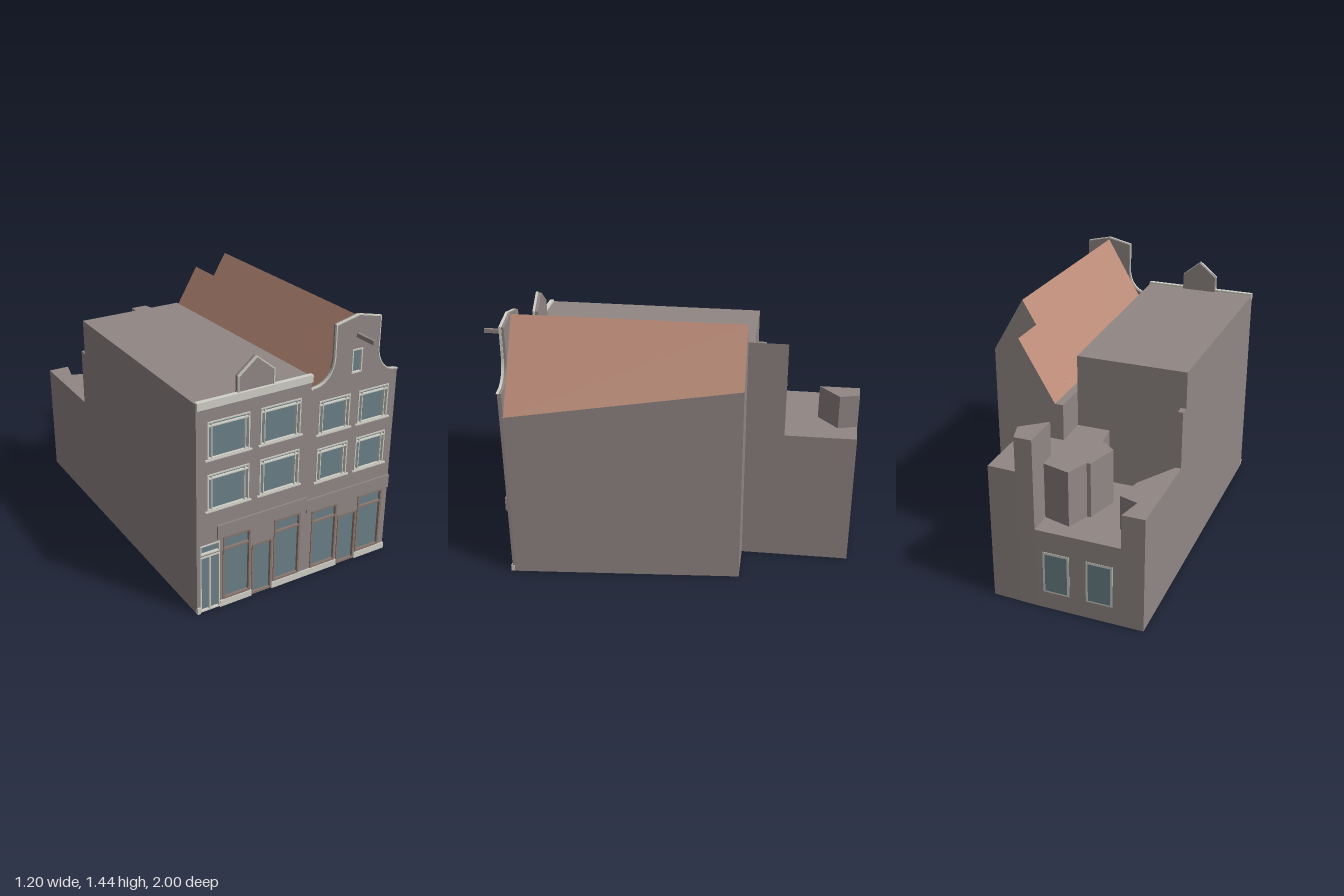
import * as THREE from 'three';

const mat = (name, color, side = THREE.FrontSide) => {
  const m = new THREE.MeshStandardMaterial({ color, side });
  m.name = name;
  return m;
};

export function createModel() {
  const model = new THREE.Group();
  model.name = 'canalHouses';
  const wall = mat('wall', 0x918785);
  const tile = mat('roofTile', 0xbc8c79);
  const trim = mat('paleTrim', 0xd0d0c7);
  const glass = mat('glass', 0x6a8087);
  const wood = mat('brownFrame', 0x8a7770);

  const add = (name, geo, material, parent = model) => {
    const mesh = new THREE.Mesh(geo, material);
    mesh.name = name;
    parent.add(mesh);
    return mesh;
  };
  const box = (name, m, x0, x1, y0, y1, z0, z1, parent) => {
    const g = new THREE.BoxGeometry(x1 - x0, y1 - y0, z1 - z0);
    g.translate((x0 + x1) / 2, (y0 + y1) / 2, (z0 + z1) / 2);
    return add(name, g, m, parent);
  };
  // Upright block from a ground plan of [x, z] corners
  const block = (name, plan, height) => {
    const shape = new THREE.Shape(plan.map(([x, z]) => new THREE.Vector2(x, -z)));
    const g = new THREE.ExtrudeGeometry(shape, { depth: height, bevelEnabled: false });
    return add(name, g.rotateX(-Math.PI / 2), wall);
  };
  // Solid between two [x, y] sections (counterclockwise from the front); roofEdges get tiles
  const loft = (name, front, zf, back, zb, roofEdges) => {
    const pos = [], roofPos = [];
    const n = front.length;
    const a = front.map(([x, y]) => [x, y, zf]);
    const b = back.map(([x, y]) => [x, y, zb]);
    for (let i = 0; i < n; i++) {
      const j = (i + 1) % n;
      const out = roofEdges.includes(i) ? roofPos : pos;
      out.push(...a[i], ...b[i], ...b[j], ...a[i], ...b[j], ...a[j]);
    }
    const tris = (s) => THREE.ShapeUtils.triangulateShape(s.map((p) => new THREE.Vector2(...p)), []);
    for (const [i, j, k] of tris(front)) pos.push(...a[i], ...a[j], ...a[k]);
    for (const [i, j, k] of tris(back)) pos.push(...b[i], ...b[k], ...b[j]);
    const g = new THREE.BufferGeometry();
    g.setAttribute('position', new THREE.Float32BufferAttribute([...pos, ...roofPos], 3));
    g.addGroup(0, pos.length / 3, 0);
    g.addGroup(pos.length / 3, roofPos.length / 3, 1);
    g.computeVertexNormals();
    add(name, g, [wall, tile]);
  };

  // Flat-roofed house and pitched-roof house with its rear wing
  block('flatHouse', [[-0.6, 0.85], [0.05, 0.85], [0.01, -0.41], [-0.59, -0.41]], 1.17);
  loft('pitchedHouse',
    [[0.05, 0], [0.6, 0], [0.6, 0.96], [0.325, 1.43], [0.055, 0.97], [0.05, 0.97]], 0.855,
    [[0.01, 0], [0.5, 0], [0.5, 1.131], [0.325, 1.43], [0.055, 0.97], [0.01, 0.97]], -0.39, [2, 3]);
  const wing = [[0.01, 0], [0.25, 0], [0.25, 1.302], [0.055, 0.97], [0.01, 0.97]];
  loft('rearWing', wing, -0.39, wing, -0.6, [2]);

  // Rear extension with its stepped roofs
  block('rearLowRoof', [[-0.585, -0.41], [0.01, -0.41], [0.01, -0.998], [-0.585, -1]], 0.46);
  block('rearSideBlock', [[0, -0.6], [0.25, -0.6], [0.25, -0.99], [0, -0.998]], 0.77);
  block('rearChimney', [[0, -0.78], [0.128, -0.888], [0.096, -0.996], [0, -0.998]], 0.96);
  block('rearBay', [[0.01, -0.41], [0.01, -0.867], [-0.149, -0.91], [-0.197, -0.787], [-0.218, -0.787],
    [-0.27, -0.606], [-0.186, -0.54], [-0.17, -0.41]], 0.77);
  block('rearCornerBlock', [[-0.59, -0.41], [-0.426, -0.68], [-0.394, -0.835], [-0.495, -0.867],
    [-0.463, -1], [-0.585, -1]], 0.65);
  block('rearPost', [[-0.59, -0.41], [-0.56, -0.41], [-0.56, -0.46], [-0.588, -0.46]], 0.97);

  // Openings: x0, x1, y0, y1, then style
  const openings = { left: [], right: [] };
  const put = (side, x0, x1, y0, y1, style, bar) => openings[side].push({ x0, x1, y0, y1, style, bar });
  for (const [y0, y1] of [[0.868, 1.067], [0.586, 0.787]])
    for (const x of [-0.54, -0.242]) put('left', x, x + 0.237, y0, y1, 'sash');
  for (const [y0, y1] of [[0.834, 1.02], [0.56, 0.753]])
    for (const x of [0.106, 0.354]) put('right', x, x + 0.194, y0, y1, 'sash');
  put('right', 0.296, 0.36, 1.128, 1.258, 'attic');
  for (const x of [-0.45, -0.143]) put('left', x, x + 0.164, 0.038, 0.411, 'shop', 0.337);
  for (const x of [0.094, 0.398]) put('right', x, x + 0.164, 0.038, 0.392, 'shop', 0.32);
  put('left', -0.277, -0.153, 0.005, 0.31, 'shopDoor');
  put('right', 0.268, 0.392, 0.005, 0.31, 'shopDoor');
  put('left', -0.582, -0.468, 0.005, 0.332, 'houseDoor');
  put('left', -0.582, -0.468, 0.342, 0.398, 'fanlight');

  const fitWindow = ({ x0, x1, y0, y1, style, bar }) => {
    const g = new THREE.Group();
    g.name = style + 'Opening';
    model.add(g);
    const brown = style.startsWith('shop');
    const m = brown ? wood : trim;
    const t = brown ? 0.011 : 0.007;
    const part = (name, a, b, c, d) => box(name, m, a, b, c, d, 0.858, 0.877, g);
    box('pane', glass, x0, x1, y0, y1, 0.853, 0.862, g);
    part('frameSide', x0, x0 + t, y0, y1);
    part('frameSide', x1 - t, x1, y0, y1);
    part('frameTop', x0 + t, x1 - t, y1 - t, y1);
    part('frameBottom', x0 + t, x1 - t, y0, y0 + t);
    if (bar) part('transom', x0 + t, x1 - t, bar - 0.005, bar + 0.005);
    if (style === 'houseDoor') part('mullion', (x0 + x1) / 2 - 0.005, (x0 + x1) / 2 + 0.005, y0, y1);
    if (style === 'sash') {
      part('transom', x0 + t, x1 - t, y1 - 0.027, y1 - 0.021);
      part('mullion', x0 + 0.022, x0 + 0.027, y0, y1);
      part('mullion', x1 - 0.027, x1 - 0.022, y0, y1);
      box('sill', trim, x0 - 0.013, x1 + 0.013, y0 - 0.006, y0 + 0.002, 0.868, 0.882, g);
    }
  };

  // Front walls with pierced openings
  const facade = (name, shape, holes) => {
    for (const { x0, x1, y0, y1 } of holes) {
      const h = new THREE.Path();
      h.moveTo(x0, y0).lineTo(x0, y1).lineTo(x1, y1).lineTo(x1, y0).closePath();
      shape.holes.push(h);
    }
    const g = new THREE.ExtrudeGeometry(shape, { depth: 0.022, bevelEnabled: false, curveSegments: 10 });
    add(name, g.translate(0, 0, 0.85), wall);
    holes.forEach(fitWindow);
  };
  // Thin coping along a run of [x, y] points
  const coping = (name, pts) => {
    const group = new THREE.Group();
    group.name = name;
    model.add(group);
    for (let i = 1; i < pts.length; i++) {
      const d = pts[i].clone().sub(pts[i - 1]);
      const g = new THREE.BoxGeometry(d.length() + 0.004, 0.006, 0.014);
      g.rotateZ(d.angle());
      g.translate((pts[i].x + pts[i - 1].x) / 2, (pts[i].y + pts[i - 1].y) / 2, 0.87);
      add('copingStrip', g, trim, group);
    }
  };

  const V = (x, y) => new THREE.Vector2(x, y);
  const leftShape = new THREE.Shape([V(-0.6, 0), V(0.055, 0), V(0.055, 1.17), V(-0.6, 1.17)]);
  facade('flatHouseFront', leftShape, openings.left);

  // Bell gable outline: half profile mirrored about the ridge
  const sweep = new THREE.CubicBezierCurve(V(0.07, 1.1), V(0.14, 1.1), V(0.19, 1.165), V(0.19, 1.24)).getPoints(12);
  const half = [V(0.055, 1.095), ...sweep, V(0.19, 1.407)];
  const bell = [...half, V(0.3265, 1.438), ...half.map((p) => V(0.653 - p.x, p.y)).reverse()];
  facade('bellGableFront', new THREE.Shape([V(0.055, 0), ...bell, V(0.598, 0)]), openings.right);
  coping('bellGableCoping', bell);

  // Small dormer gable over the cornice
  const dormer = [V(-0.37, 1.17), V(-0.37, 1.26), V(-0.27, 1.342), V(-0.17, 1.26), V(-0.17, 1.17)];
  const dormerGeo = new THREE.ExtrudeGeometry(new THREE.Shape(dormer), { depth: 0.025, bevelEnabled: false });
  add('dormerGable', dormerGeo.translate(0, 0, 0.845), wall);
  coping('dormerCoping', dormer);

  // Cornices, shop fascias, plinth and hoist beam
  box('topCornice', trim, -0.6, 0.055, 1.14, 1.18, 0.86, 0.885);
  box('leftFascia', wall, -0.485, 0.055, 0.415, 0.49, 0.865, 0.882);
  box('rightFascia', wall, 0.055, 0.598, 0.394, 0.47, 0.865, 0.882);
  for (const [a, b] of [[-0.6, -0.582], [-0.468, -0.277], [-0.153, 0.268], [0.392, 0.6]])
    box('plinth', trim, a, b, 0, 0.036, 0.86, 0.88);
  box('hoistBeam', wall, 0.317, 0.333, 1.32, 1.342, 0.86, 1);

  // Rear wall windows
  for (const x of [-0.185, -0.42]) {
    box('rearWindowFrame', trim, x, x + 0.145, 0.1, 0.34, -1.001, -0.994);
    box('rearWindowPane', glass, x + 0.012, x + 0.133, 0.11, 0.328, -1.003, -0.996);
  }
  return model;
}
